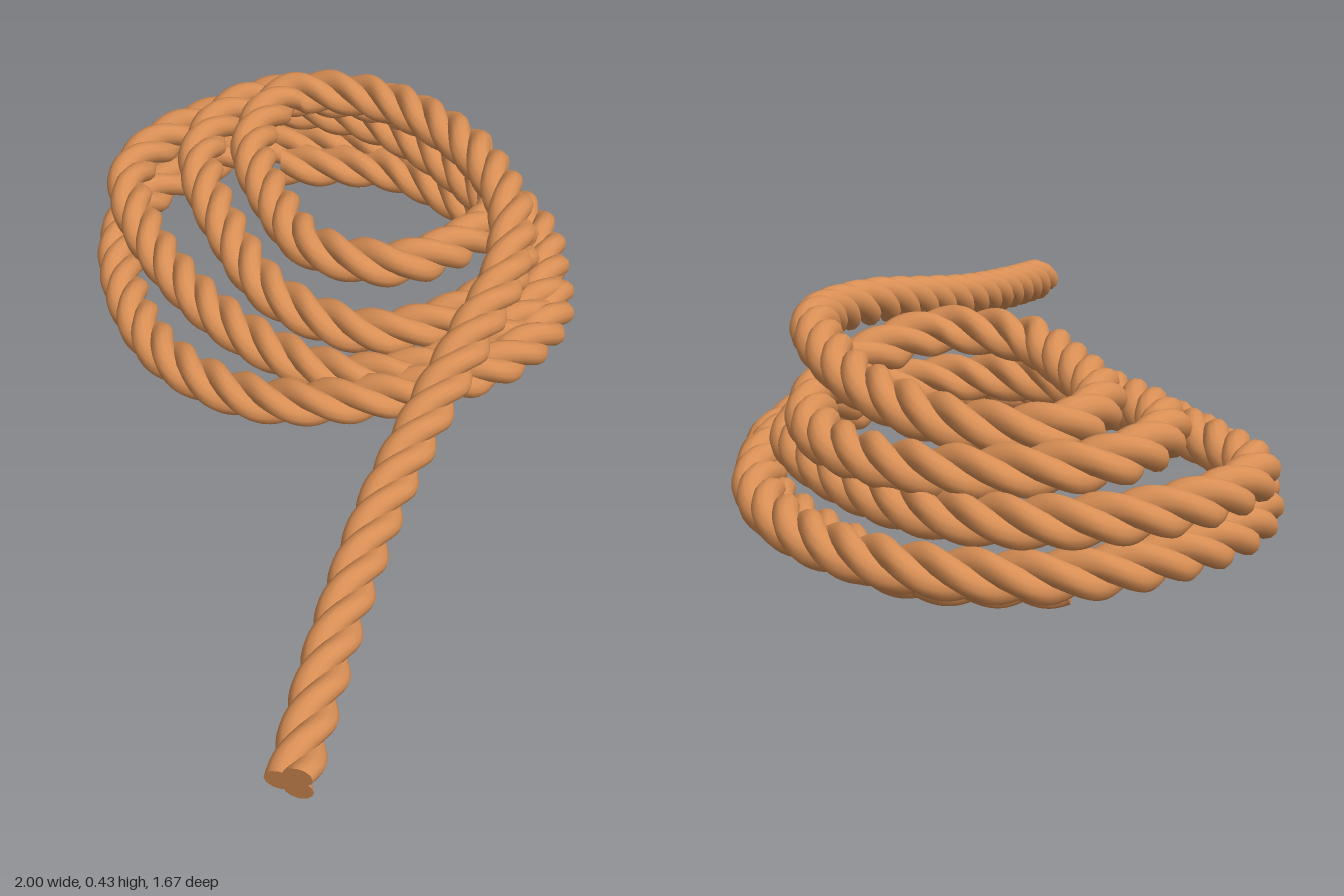
import * as THREE from 'three';

const STRANDS = 3, STRAND_RADIUS = 0.031, STRAND_OFFSET = 0.025;
const PITCH = 0.3, STEPS = 1100, SIDES = 12;

// Centre line of the rope, from the loose tail down to the hidden lower end
const tail = [
  [0.965, 0.075, 0.8], [0.73, 0.145, 0.52], [0.535, 0.21, 0.26],
  [0.4, 0.27, 0.03], [0.295, 0.32, -0.165], [0.19, 0.35, -0.34],
];
const topTurn = [
  [0.04, 0.375, -0.48], [-0.15, 0.37, -0.56], [-0.37, 0.355, -0.595], [-0.61, 0.34, -0.55],
  [-0.74, 0.335, -0.4], [-0.63, 0.325, -0.21], [-0.37, 0.32, -0.1], [-0.17, 0.325, -0.07], [-0.01, 0.325, -0.19],
];
const secondTurn = [
  [-0.03, 0.295, -0.42], [-0.13, 0.265, -0.59], [-0.36, 0.26, -0.69], [-0.65, 0.27, -0.63],
  [-0.84, 0.285, -0.35], [-0.73, 0.275, -0.12], [-0.42, 0.24, 0], [-0.18, 0.21, 0.02], [0.03, 0.19, -0.1],
];
const thirdTurn = [
  [0.07, 0.185, -0.38], [-0.07, 0.18, -0.6], [-0.36, 0.18, -0.67], [-0.69, 0.19, -0.63],
  [-0.895, 0.2, -0.45], [-0.945, 0.2, -0.2], [-0.86, 0.19, 0.01], [-0.61, 0.165, 0.11], [-0.2, 0.15, 0.125], [0.07, 0.14, 0.01],
];
const fourthTurn = [
  [0.155, 0.13, -0.25], [0.08, 0.12, -0.54], [-0.13, 0.1, -0.73], [-0.4, 0.09, -0.78], [-0.68, 0.09, -0.7],
  [-0.875, 0.09, -0.49], [-0.92, 0.09, -0.22], [-0.84, 0.085, 0.03], [-0.61, 0.085, 0.195], [-0.29, 0.09, 0.275],
];
const lowestTurn = [
  [-0.03, 0.1, 0.205], [0.13, 0.125, 0.05], [0.205, 0.13, -0.14], [0.22, 0.125, -0.34],
  [0.13, 0.1, -0.54], [-0.05, 0.075, -0.67], [-0.32, 0.06, -0.71], [-0.64, 0.056, -0.66], [-0.84, 0.056, -0.44],
];

// One strand winding around the centre line, closed by a flat cut at both ends
function strandGeometry(path, phase) {
  const positions = [], index = [];
  const length = path.getLength();
  const up = new THREE.Vector3(0, 1, 0);
  const addRing = (centre, n, b) => {
    for (let j = 0; j < SIDES; j++) {
      const a = (j / SIDES) * Math.PI * 2;
      const p = centre.clone()
        .addScaledVector(n, Math.cos(a) * STRAND_RADIUS)
        .addScaledVector(b, Math.sin(a) * STRAND_RADIUS);
      positions.push(p.x, p.y, p.z);
    }
  };
  const addCap = (centre, n, b, atStart) => {
    const first = positions.length / 3;
    addRing(centre, n, b);
    positions.push(centre.x, centre.y, centre.z);
    for (let j = 0; j < SIDES; j++) {
      const p = first + j, q = first + ((j + 1) % SIDES), c = first + SIDES;
      if (atStart) index.push(c, q, p);
      else index.push(c, p, q);
    }
  };

  const ends = [];
  for (let i = 0; i <= STEPS; i++) {
    const u = i / STEPS;
    const t = path.getTangentAt(u);
    const n = new THREE.Vector3().crossVectors(up, t).normalize();
    const b = new THREE.Vector3().crossVectors(t, n);
    const twist = phase + (u * length / PITCH) * Math.PI * 2;
    const centre = path.getPointAt(u)
      .addScaledVector(n, Math.cos(twist) * STRAND_OFFSET)
      .addScaledVector(b, Math.sin(twist) * STRAND_OFFSET);
    addRing(centre, n, b);
    if (i === 0 || i === STEPS) ends.push([centre, n, b]);
  }
  for (let i = 0; i < STEPS; i++) {
    for (let j = 0; j < SIDES; j++) {
      const k = (j + 1) % SIDES;
      const a = i * SIDES + j, b = i * SIDES + k;
      const c = a + SIDES, d = b + SIDES;
      index.push(a, b, c, b, d, c);
    }
  }
  addCap(...ends[0], true);
  addCap(...ends[1], false);

  const geometry = new THREE.BufferGeometry();
  geometry.setAttribute('position', new THREE.Float32BufferAttribute(positions, 3));
  geometry.setIndex(index);
  geometry.computeVertexNormals();
  return geometry;
}

export function createModel() {
  const group = new THREE.Group();
  group.name = 'coiledRope';
  const material = new THREE.MeshStandardMaterial({ color: 0xd98f55 });

  const points = [tail, topTurn, secondTurn, thirdTurn, fourthTurn, lowestTurn]
    .flat().map((p) => new THREE.Vector3(...p));
  const path = new THREE.CatmullRomCurve3(points, false, 'centripetal');
  path.arcLengthDivisions = 2000;

  // Three strands laid together, evenly spaced around the rope
  for (let s = 0; s < STRANDS; s++) {
    const strand = new THREE.Mesh(strandGeometry(path, (s / STRANDS) * Math.PI * 2), material);
    strand.name = `ropeStrand${s + 1}`;
    group.add(strand);
  }
  return group;
}
